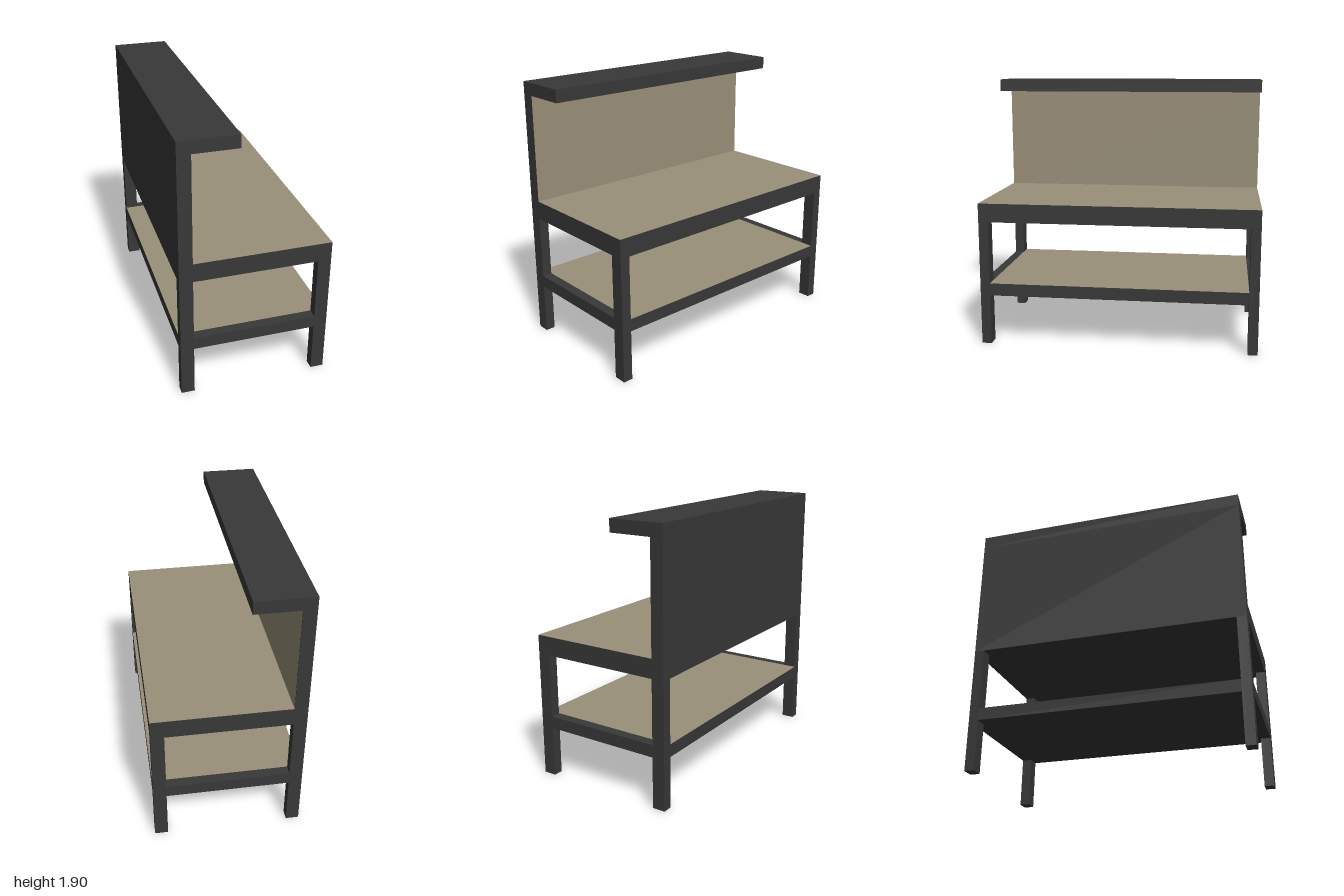
import * as THREE from 'three';

export function createModel() {
  const model = new THREE.Group();
  model.name = 'workbench';
  const frame = new THREE.MeshStandardMaterial({ color: 0x383838 });
  const board = new THREE.MeshStandardMaterial({ color: 0x9a9079 });

  // Outer half sizes, leg section and the key heights
  const X = 0.528, Z = 1, legX = 0.093, legZ = 0.07;
  const shelfLow = 0.365, shelfHigh = 0.453, topLow = 0.907, topHigh = 1.04;
  const hoodLow = 1.81, hoodHigh = 1.9, hoodEdge = -0.125;
  const inner = -X + legX;

  // Box given by its lower and upper corners
  function box(name, [x0, y0, z0], [x1, y1, z1], material = frame) {
    const mesh = new THREE.Mesh(new THREE.BoxGeometry(x1 - x0, y1 - y0, z1 - z0), material);
    mesh.position.set((x0 + x1) / 2, (y0 + y1) / 2, (z0 + z1) / 2);
    mesh.name = name;
    model.add(mesh);
  }

  // Thin board facing, laid just proud of the frame
  function facing(name, width, depth, position, turn) {
    const mesh = new THREE.Mesh(new THREE.PlaneGeometry(width, depth), board);
    mesh.rotation.set(...turn);
    mesh.position.set(...position);
    mesh.name = name;
    model.add(mesh);
  }

  // Legs and the low end rails between them
  for (const s of [-1, 1]) {
    const z0 = s > 0 ? Z - legZ : -Z, z1 = z0 + legZ;
    box('backLeg', [-X, 0, z0], [inner, topLow, z1]);
    box('frontLeg', [X - legX, 0, z0], [X, topLow, z1]);
    box('endRail', [inner, shelfLow, z0], [X - legX, shelfHigh, z1]);
  }

  // Lower shelf, worktop, back panel and hood
  box('lowerShelf', [-X, shelfLow, -Z + legZ], [X, shelfHigh, Z - legZ]);
  box('worktop', [inner, topLow, -Z], [X, topHigh, Z]);
  box('backPanel', [-X, topLow, -Z], [inner, hoodLow, Z]);
  box('hood', [-X, hoodLow, -Z], [hoodEdge, hoodHigh, Z]);

  // Light board surfaces
  const lift = 0.002, up = [-Math.PI / 2, 0, 0];
  facing('shelfSurface', 2 * X, 2 * (Z - legZ), [0, shelfHigh + lift, 0], up);
  facing('worktopSurface', X - inner, 2 * Z, [(X + inner) / 2, topHigh + lift, 0], up);
  facing('backPanelSurface', 2 * Z, hoodLow - topHigh,
    [inner + lift, (hoodLow + topHigh) / 2, 0], [0, Math.PI / 2, 0]);

  return model;
}
